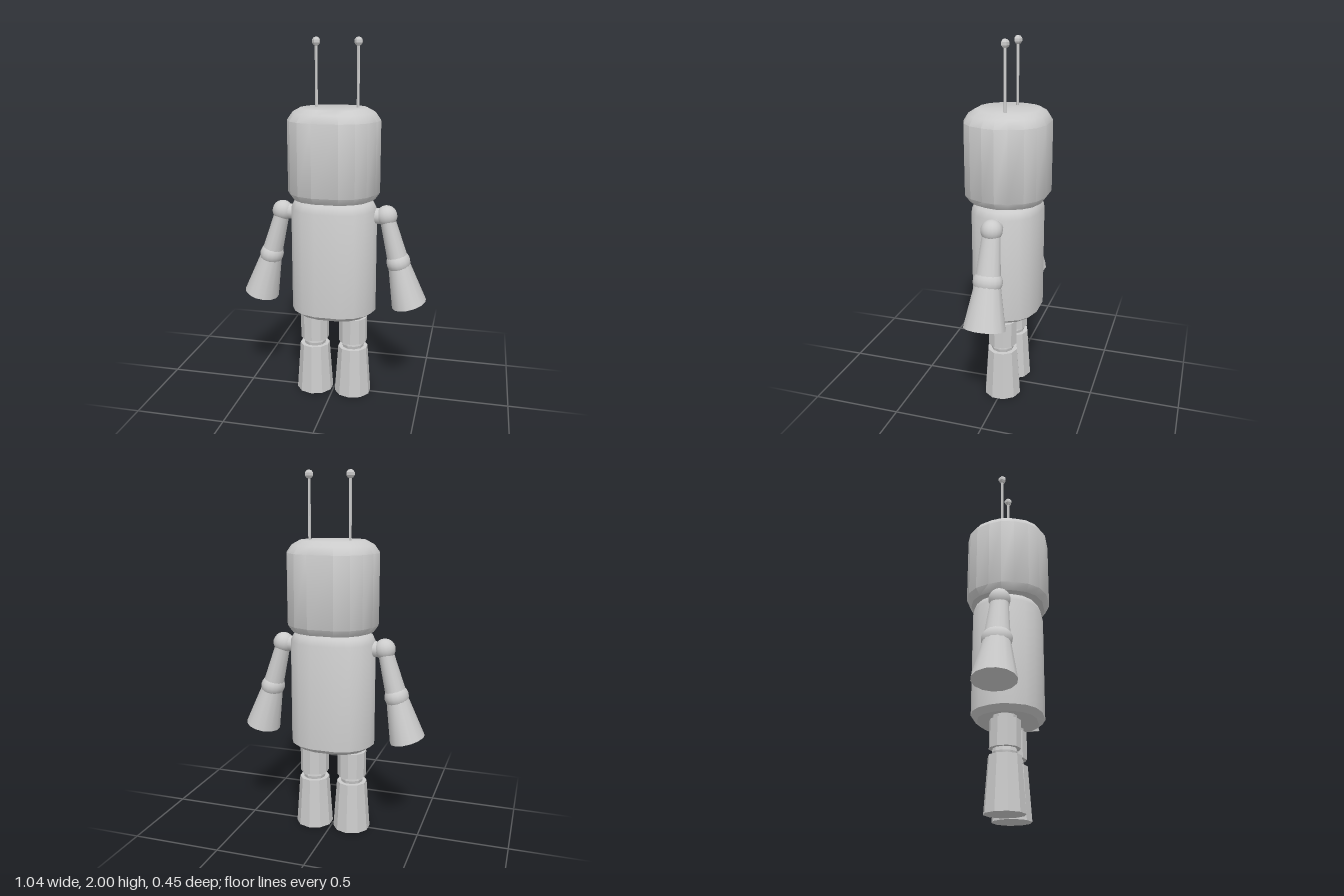
import * as THREE from 'three';
import { toCreasedNormals } from 'three/addons/utils/BufferGeometryUtils.js';

const smooth = new THREE.MeshStandardMaterial({ color: 0xcccccc });
const flat = new THREE.MeshStandardMaterial({ color: 0xcccccc, flatShading: true });

function add(parent, name, geometry, material, x = 0, y = 0, z = 0) {
  const mesh = new THREE.Mesh(geometry, material);
  mesh.name = name;
  mesh.position.set(x, y, z);
  parent.add(mesh);
  return mesh;
}

// One quarter of the rounded outline, as fractions of the half width and half depth
const QUARTER = [[0.28, 1], [0.6, 0.87], [0.81, 0.645], [0.945, 0.31], [1, 0]];

function outline() {
  const q = QUARTER.map(([x, z]) => [x, z]);
  const right = [...q, ...q.slice(0, -1).reverse().map(([x, z]) => [x, -z])];
  return [...right, ...right.slice().reverse().map(([x, z]) => [-x, z])];
}

// Closed barrel through rings of [y, halfWidth, halfDepth], from bottom to top
function barrel(rings) {
  const loop = outline(), n = loop.length, pos = [], idx = [];
  for (const [y, w, d] of rings) for (const [x, z] of loop) pos.push(x * w, y, z * d);
  for (let r = 0; r < rings.length - 1; r++) {
    for (let i = 0; i < n; i++) {
      const a = r * n + i, b = r * n + (i + 1) % n;
      idx.push(a, b, b + n, a, b + n, a + n);
    }
  }
  const top = (rings.length - 1) * n;
  for (let i = 1; i < n - 1; i++) idx.push(0, i + 1, i, top, top + i, top + i + 1);
  const geometry = new THREE.BufferGeometry();
  geometry.setAttribute('position', new THREE.Float32BufferAttribute(pos, 3));
  geometry.setIndex(idx);
  return toCreasedNormals(geometry, 0.65);
}

function makeArm(side) {
  const arm = new THREE.Group();
  arm.name = side > 0 ? 'leftArm' : 'rightArm';
  arm.position.set(side * 0.293, 1.063, 0);
  arm.rotation.z = side * 0.265;
  add(arm, 'shoulder', new THREE.SphereGeometry(0.058, 16, 12), smooth);
  add(arm, 'upperArm', new THREE.CylinderGeometry(0.04, 0.058, 0.26, 14), smooth, 0, -0.135).scale.z = 1.2;
  add(arm, 'elbow', new THREE.SphereGeometry(0.066, 16, 12), smooth, 0, -0.267).scale.z = 1.22;
  add(arm, 'forearm', new THREE.CylinderGeometry(0.058, 0.097, 0.245, 14), smooth, 0, -0.392).scale.z = 1.18;
  return arm;
}

function makeLeg(side) {
  const leg = new THREE.Group();
  leg.name = side > 0 ? 'leftLeg' : 'rightLeg';
  leg.position.x = side * 0.112;
  add(leg, 'hip', new THREE.CylinderGeometry(0.063, 0.063, 0.08, 10), flat, 0, 0.48);
  add(leg, 'thigh', new THREE.CylinderGeometry(0.081, 0.081, 0.146, 10), flat, 0, 0.392);
  add(leg, 'knee', new THREE.SphereGeometry(0.065, 10, 8), flat, 0, 0.3);
  add(leg, 'lowerLeg', new THREE.CylinderGeometry(0.085, 0.105, 0.283, 10), flat, 0, 0.1415);
  return leg;
}

export function createModel() {
  const robot = new THREE.Group();
  robot.name = 'robot';

  // Head and body
  add(robot, 'head', barrel([
    [1.153, 0.228, 0.198], [1.19, 0.254, 0.224], [1.575, 0.254, 0.224],
    [1.615, 0.225, 0.2], [1.638, 0.182, 0.165],
  ]), smooth);
  add(robot, 'neck', new THREE.CylinderGeometry(0.15, 0.15, 0.06, 16), smooth, 0, 1.15);
  add(robot, 'torso', barrel([
    [0.488, 0.205, 0.155], [0.515, 0.24, 0.187], [1.095, 0.24, 0.187],
    [1.13, 0.222, 0.173], [1.148, 0.195, 0.155],
  ]), smooth);

  // Limbs, with a stub joining each shoulder to the body
  for (const side of [1, -1]) {
    robot.add(makeArm(side), makeLeg(side));
    const stub = add(robot, 'shoulderStub', new THREE.CylinderGeometry(0.043, 0.043, 0.09, 14),
      smooth, side * 0.245, 1.06, 0);
    stub.rotation.z = Math.PI / 2;
  }

  // Antennae
  for (const x of [-0.1, 0.126]) {
    add(robot, 'antennaRod', new THREE.CylinderGeometry(0.008, 0.008, 0.35, 5), flat, x, 1.795, -0.021);
    add(robot, 'antennaTip', new THREE.SphereGeometry(0.024, 5, 5), flat, x, 1.976, -0.021);
  }
  return robot;
}
